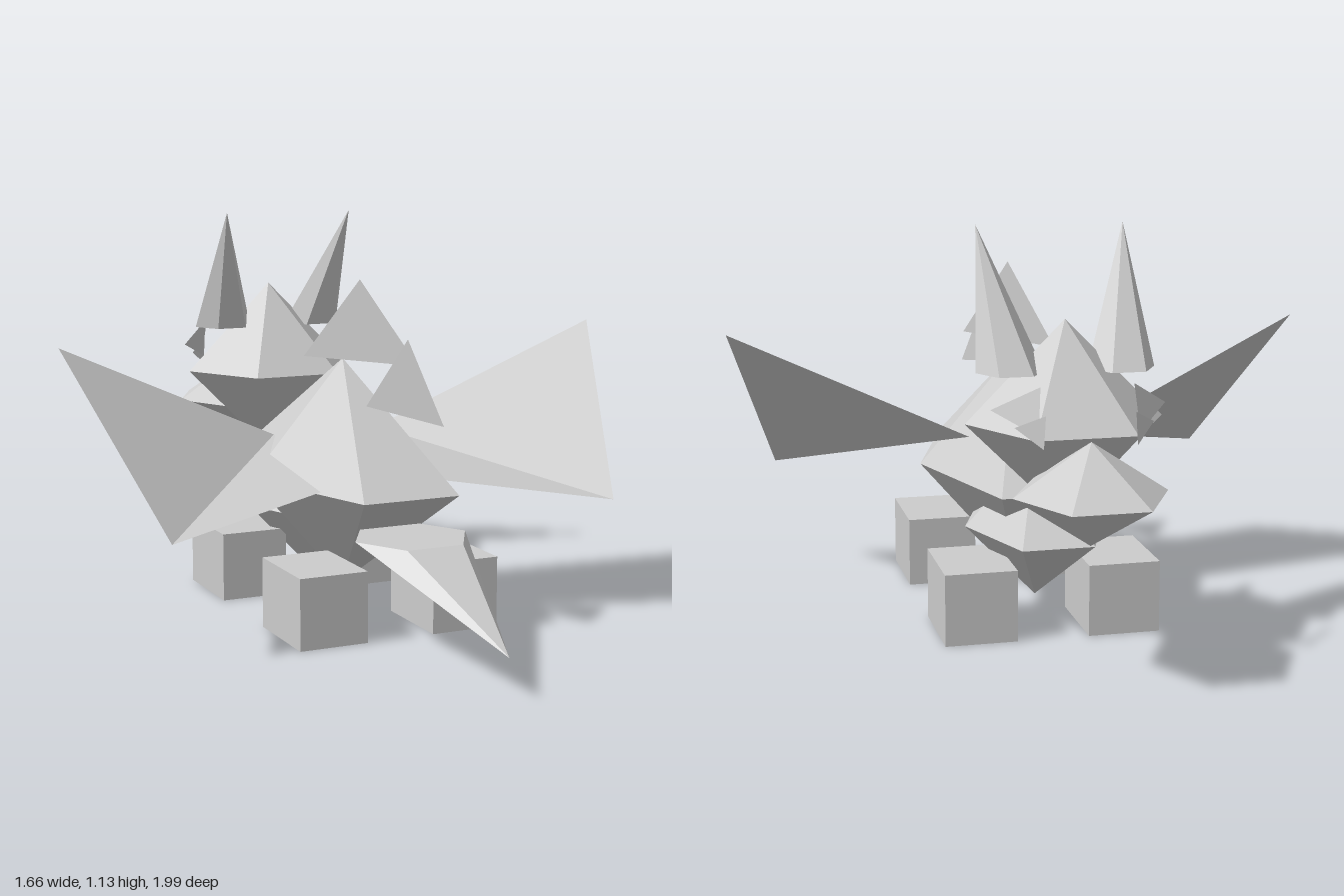
import * as THREE from 'three';

export function createModel() {
  const group = new THREE.Group();
  const stone = new THREE.MeshStandardMaterial({ color: 0xcccccc, flatShading: true });
  stone.name = 'light grey';
  stone.side = THREE.DoubleSide;

  function add(name, geometry) {
    const mesh = new THREE.Mesh(geometry, stone);
    mesh.name = name;
    group.add(mesh);
  }

  // Six-sided double pyramid; radii are along x, y and z
  function gem(name, center, radii) {
    add(name, new THREE.SphereGeometry(1, 6, 2).scale(...radii).translate(...center));
  }

  // Six-sided cone leaning from its base centre to its tip
  function spike(name, radius, base, tip) {
    const dy = tip[1] - base[1];
    const g = new THREE.ConeGeometry(radius, Math.abs(dy), 6, 1, false, Math.PI / 6);
    g.translate(0, Math.abs(dy) / 2, 0);
    if (dy < 0) g.rotateX(Math.PI);
    const p = g.attributes.position;
    for (let i = 0; i < p.count; i++) {
      const t = p.getY(i) / dy;
      p.setXYZ(i, p.getX(i) + base[0] + t * (tip[0] - base[0]), p.getY(i) + base[1],
        p.getZ(i) + base[2] + t * (tip[2] - base[2]));
    }
    g.computeVertexNormals();
    add(name, g);
  }

  // Thin sheet made of a fan of triangles
  function sheet(name, points) {
    const g = new THREE.BufferGeometry();
    const v = [];
    for (let i = 1; i < points.length - 1; i++) v.push(...points[0], ...points[i], ...points[i + 1]);
    g.setAttribute('position', new THREE.Float32BufferAttribute(v, 3));
    g.computeVertexNormals();
    add(name, g);
  }

  // Body, chest, head and snout
  gem('body', [0, 0.4, 0.02], [0.285, 0.33, 0.517]);
  gem('chest', [0, 0.27, -0.21], [0.2, 0.21, 0.323]);
  gem('head', [0, 0.635, -0.537], [0.265, 0.265, 0.27]);
  gem('snout', [0, 0.502, -0.805], [0.2, 0.133, 0.225]);

  // Tail, with its flat base facing up
  spike('tail', 0.165, [0, 0.3, 0.46], [0, 0.11, 0.995]);

  // Crooked fins floating over the back
  sheet('frontBackFin', [[0, 0.965, 0.135], [0.1, 0.735, 0.3], [-0.1, 0.735, -0.03]]);
  sheet('rearBackFin', [[0, 0.83, 0.435], [0.06, 0.605, 0.53], [-0.06, 0.635, 0.305]]);

  for (const s of [1, -1]) {
    const side = s > 0 ? 'left' : 'right';
    // Feet
    for (const [end, z] of [['Front', -0.3], ['Rear', 0.27]]) {
      add(side + end + 'Foot', new THREE.BoxGeometry(0.2, 0.2, 0.265).translate(s * 0.2, 0.1, z));
    }
    // Ears
    spike(side + 'Ear', 0.09, [s * 0.148, 0.77, -0.55], [s * 0.2, 1.13, -0.37]);
    // Wings, folded along the line from shoulder to rear tip
    sheet(side + 'Wing', [[s * 0.165, 0.5, -0.1], [s * 0.83, 0.8, 0], [s * 0.665, 0.335, 0.425],
      [s * 0.1, 0.42, 0.27]]);
    // Eyes and pupils
    sheet(side + 'Eye', [[s * 0.228, 0.7, -0.68], [s * 0.12, 0.77, -0.765], [s * 0.13, 0.65, -0.79]]);
    sheet(side + 'Pupil', [[s * 0.115, 0.705, -0.803], [s * 0.12, 0.62, -0.803], [s * 0.18, 0.665, -0.74]]);
  }
  return group;
}
